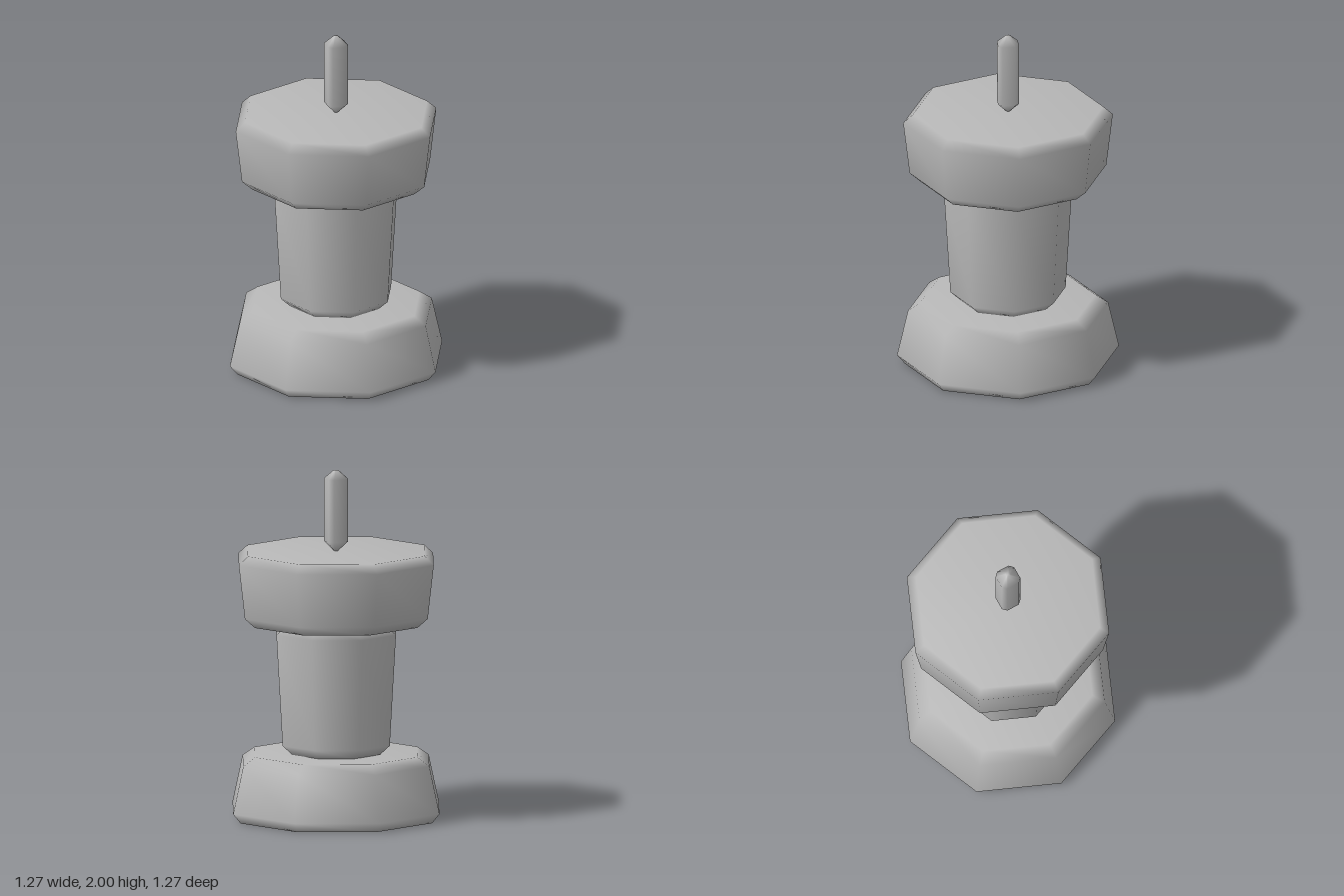
import * as THREE from 'three';
import { mergeVertices } from 'three/addons/utils/BufferGeometryUtils.js';

const grey = new THREE.MeshStandardMaterial({ color: 0xb8b8b8 });
grey.name = 'grey';

// Eight-sided turned part with softly shaded chamfers; reshape may move its vertices
function turned(name, profile, phiStart = 0, reshape = null) {
  const points = profile.map(([r, y]) => new THREE.Vector2(r, y));
  let geometry = new THREE.LatheGeometry(points, 8, phiStart);
  geometry.deleteAttribute('uv');
  geometry.deleteAttribute('normal');
  if (reshape) reshape(geometry.attributes.position);
  geometry = mergeVertices(geometry, 1e-4);
  geometry.computeVertexNormals();
  const mesh = new THREE.Mesh(geometry, grey);
  mesh.name = name;
  return mesh;
}

// Turns a regular octagon into a diamond with narrow clipped corners
function clipCorners(position) {
  for (let i = 0; i < position.count; i++) {
    const x = position.getX(i), z = position.getZ(i);
    const xLong = Math.abs(x) > Math.abs(z);
    position.setX(i, x * (xLong ? 1.06 : 0.6));
    position.setZ(i, z * (xLong ? 0.6 : 1.06));
  }
}

export function createModel() {
  const group = new THREE.Group();
  group.name = 'pushPin';
  group.add(
    turned('base', [[0, 0], [0.59, 0], [0.635, 0.055], [0.573, 0.325], [0.5, 0.375], [0, 0.375]]),
    turned('stem', [[0, 0.375], [0.27, 0.375], [0.33, 0.43], [0.368, 1.07], [0.305, 1.12], [0, 1.12]]),
    turned('head', [[0, 1.12], [0.5, 1.12], [0.563, 1.175], [0.6, 1.485], [0.545, 1.535], [0, 1.535]]),
    // Slim pin standing on the head
    turned('pin', [[0, 1.53], [0.012, 1.535], [0.07, 1.59], [0.07, 1.95], [0.015, 1.998], [0, 2]],
      Math.PI / 8, clipCorners)
  );
  return group;
}
